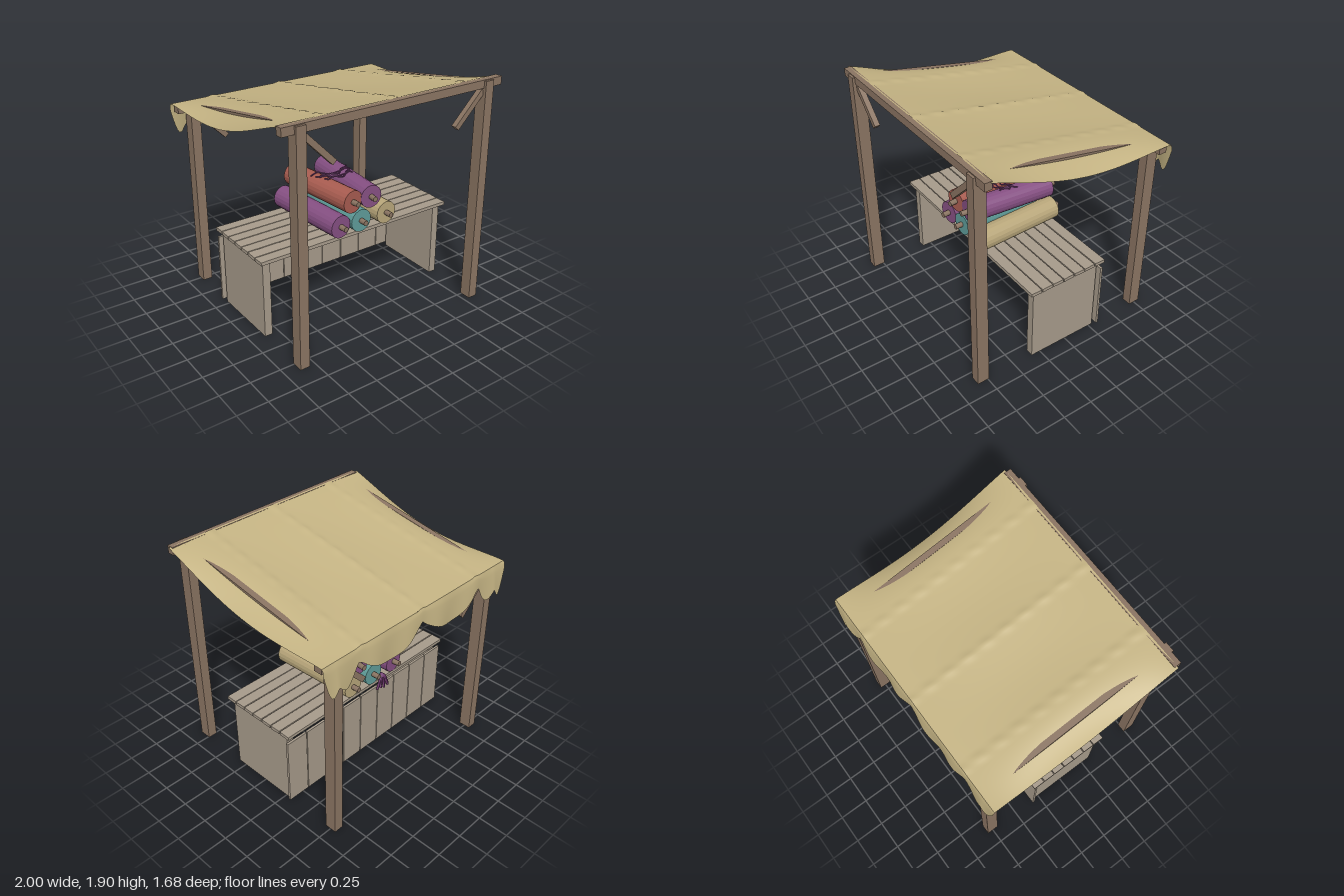
import * as THREE from 'three';

const mat = (color, extra = {}) => new THREE.MeshStandardMaterial({ color, ...extra });
const wood = mat(0x8a7462), plank = mat(0xa69a8a);
const clothMat = mat(0xc4b383, { side: THREE.DoubleSide });
const ribbonMat = mat(0x713a70, { side: THREE.DoubleSide });

function add(parent, name, geometry, material, x = 0, y = 0, z = 0) {
  const mesh = new THREE.Mesh(geometry, material);
  mesh.name = name;
  mesh.position.set(x, y, z);
  parent.add(mesh);
  return mesh;
}
const box = (parent, name, w, h, d, x, y, z, material = wood) =>
  add(parent, name, new THREE.BoxGeometry(w, h, d), material, x, y, z);

// Grid surface from a rule (u, v in 0..1) -> [x, y, z]
function sheet(nu, nv, rule) {
  const geo = new THREE.PlaneGeometry(1, 1, nu, nv);
  const pos = geo.attributes.position;
  for (let i = 0; i < pos.count; i++) {
    pos.setXYZ(i, ...rule(pos.getX(i) + 0.5, 0.5 - pos.getY(i)));
  }
  geo.computeVertexNormals();
  return geo;
}

const SLOPE = 0.18;

// Height of the awning: sags in each bay, droops past the side rafters
function clothHeight(x, z) {
  const a = Math.abs(x);
  const along = Math.max(0, Math.cos((Math.PI * z) / 1.62));
  const bay = a < 0.67 ? 0.02 * Math.sin((Math.PI * a) / 0.67) : 0;
  const droop = a > 0.67 ? 0.115 * Math.pow((a - 0.67) / 0.33, 2.3) : 0;
  // puckered seams over the rafters
  const seam = Math.max(0, 1 - Math.min(a, Math.abs(a - 0.63)) / 0.05);
  const pucker = 0.01 * seam * (0.6 + 0.4 * Math.sin(z * 37 + x * 9));
  return 1.75 + SLOPE * z - (bay + droop) * Math.pow(along, 1.2) + pucker;
}

// Scalloped hem: [x, drop at the cusp], with a dip between neighbours
const cusps = [[0, 0.11], [0.67, 0.11], [0.87, 0.2], [1, 0.06]];
const dips = [0.145, 0.1, 0.13];
function hemDrop(x) {
  const a = Math.min(Math.abs(x), 1);
  let i = 0;
  while (i < 2 && a > cusps[i + 1][0]) i++;
  const t = (a - cusps[i][0]) / (cusps[i + 1][0] - cusps[i][0]);
  return THREE.MathUtils.lerp(cusps[i][1], cusps[i + 1][1], t) + dips[i] * Math.sin(Math.PI * t);
}

function frame() {
  const g = new THREE.Group();
  g.name = 'frame';
  for (const s of [-1, 1]) {
    box(g, 'frontPost', 0.08, 1.88, 0.1, s * 0.84, 0.94, 0.79);
    box(g, 'backPost', 0.08, 1.59, 0.1, s * 0.84, 0.795, -0.75);
    // diagonal braces
    for (const [y, z] of [[1.675, 0.79], [1.39, -0.75]]) {
      box(g, 'brace', 0.35, 0.045, 0.045, s * 0.68, y, z).rotation.z = s * 0.79;
    }
  }
  box(g, 'frontBeam', 1.96, 0.065, 0.06, 0, 1.855, 0.79);
  box(g, 'backBeam', 1.96, 0.06, 0.07, 0, 1.57, -0.75);
  // sloping rafters
  for (const x of [-0.84, -0.67, 0, 0.67, 0.84]) {
    const w = Math.abs(x) > 0.8 ? 0.05 : 0.03;
    box(g, 'rafter', w, 0.05, 1.55, x, 1.71, 0).rotation.x = -Math.atan(SLOPE);
  }
  return g;
}

function awning() {
  const g = new THREE.Group();
  g.name = 'awning';
  add(g, 'awningCloth', sheet(100, 50, (u, v) => {
    const x = u * 2 - 1, z = -0.805 + v * 1.585;
    return [x, clothHeight(x, z), z];
  }), clothMat);
  // hanging valance at the low back edge
  add(g, 'valance', sheet(120, 8, (u, v) => {
    const x = u * 2 - 1;
    const fold = 0.01 * Math.cos(x * 18) * v;
    return [x, clothHeight(x, -0.805) - hemDrop(x) * v, -0.805 - 0.025 * Math.sqrt(v) + fold];
  }), clothMat);
  return g;
}

function counter() {
  const g = new THREE.Group();
  g.name = 'counter';
  const n = 7, pitch = 0.715 / n;
  for (let i = 0; i < n; i++) {
    box(g, 'topPlank', 1.81, 0.028, pitch - 0.008, 0, 0.666, 0.372 - pitch * (i + 0.5), plank)
      .rotation.x = i % 2 ? 0.03 : -0.03;
  }
  for (let i = 0; i < 9; i++) {
    box(g, 'backPlank', 0.194, 0.58, 0.02, (i - 4) * 0.2014, 0.31, -0.317, plank);
  }
  for (const s of [-1, 1]) box(g, 'sidePanel', 0.065, 0.63, 0.615, s * 0.842, 0.315, 0.022, plank);
  return g;
}

// Cloth roll on a rod, from its front end centre; shift moves the far end in x
function roll(parent, color, x, y, shift) {
  const g = new THREE.Group();
  g.name = 'clothRoll';
  const body = new THREE.CylinderGeometry(0.095, 0.095, 0.74, 20).rotateX(Math.PI / 2);
  const rod = new THREE.CylinderGeometry(0.022, 0.022, 0.865, 10).rotateX(Math.PI / 2);
  add(g, 'rollBody', body, mat(color, { flatShading: true }));
  add(g, 'rollRod', rod, wood);
  g.position.set(x + shift / 2, y, 0.023);
  g.rotation.y = Math.atan2(-shift, 0.74);
  parent.add(g);
}

function ribbon(parent, name, points, radius) {
  const curve = new THREE.CatmullRomCurve3(points.map(p => new THREE.Vector3(...p)));
  add(parent, name, new THREE.TubeGeometry(curve, 24, radius, 5), ribbonMat);
}

function goods() {
  const g = new THREE.Group();
  g.name = 'goods';
  roll(g, 0x854f82, -0.2, 0.778, -0.065);
  roll(g, 0x5f9c99, -0.005, 0.778, -0.015);
  roll(g, 0xb8a67a, 0.245, 0.778, -0.03);
  roll(g, 0xa85c50, -0.085, 0.96, -0.08);
  roll(g, 0x854f82, 0.09, 0.96, 0.06);

  // loose ribbon lying on the upper rolls
  for (let i = 0; i < 4; i++) {
    const z = -0.02 + i * 0.035, k = i % 2 ? 1 : -1;
    ribbon(g, 'looseRibbon', [
      [-0.2 + i * 0.02, 1.062, z], [-0.12, 1.062, z + 0.03 * k], [-0.05, 1.05, z - 0.02 * k],
      [0.03, 1.045, z + 0.02], [0.1, 1.062, z - 0.03 * k], [0.16 - i * 0.015, 1.062, z + 0.02 * k],
    ], 0.006);
  }
  // gathered tassel falling over the back edge
  for (let i = 0; i < 7; i++) {
    const t = i / 6 - 0.5;
    ribbon(g, 'tassel', [
      [-0.13, 0.715, -0.3], [-0.13 + t * 0.04, 0.7, -0.345],
      [-0.13 + t * 0.09, 0.645, -0.352 - 0.008 * (i % 2)],
      [-0.13 + t * 0.13, 0.595 + 0.008 * (i % 3), -0.352 - 0.018 * (i % 2)],
    ], 0.011);
  }
  return g;
}

export function createModel() {
  const model = new THREE.Group();
  model.name = 'marketStall';
  model.add(frame(), awning(), counter(), goods());
  return model;
}
